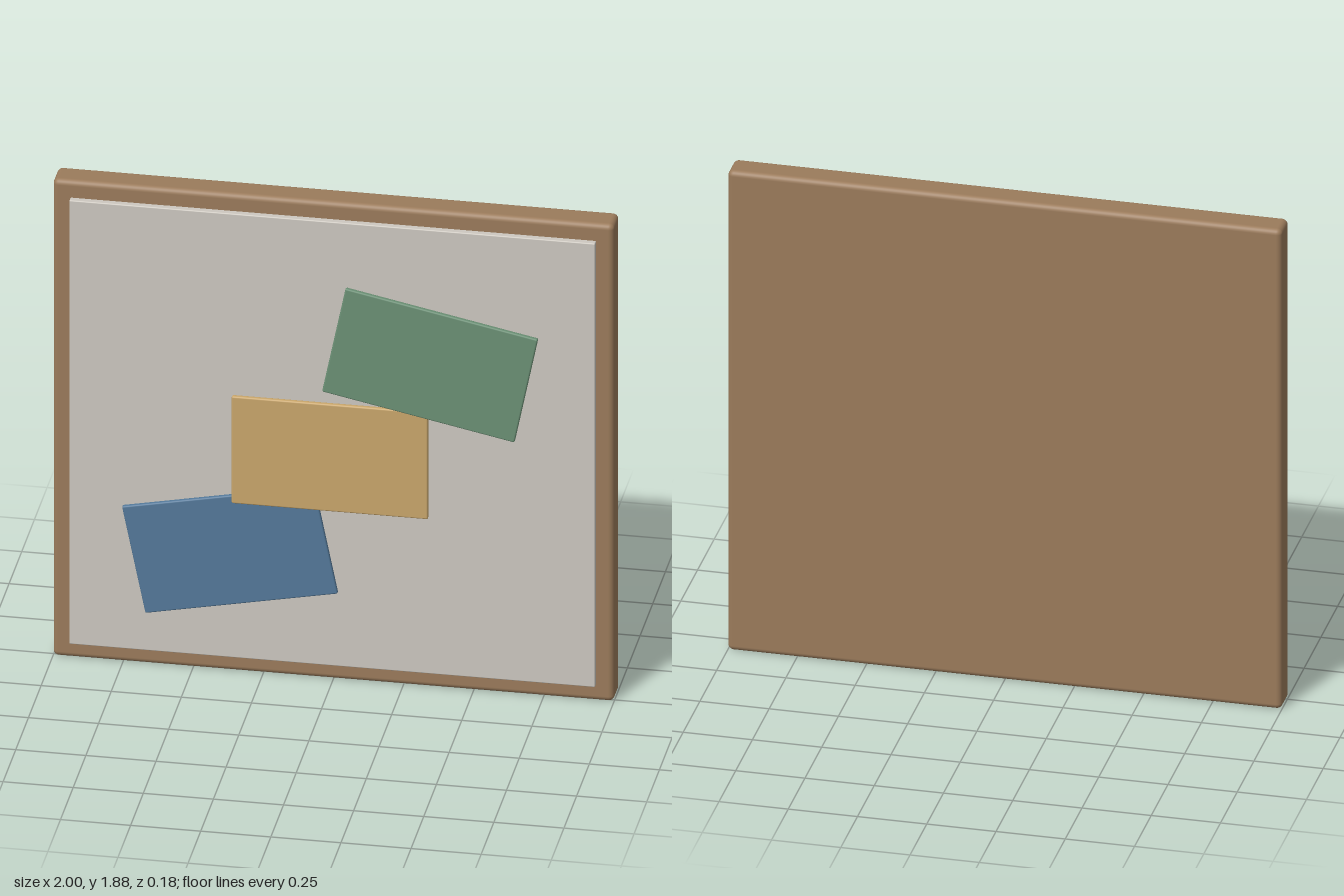
import * as THREE from 'three';
import { RoundedBoxGeometry } from 'three/addons/geometries/RoundedBoxGeometry.js';

function material(name, color) {
  const m = new THREE.MeshStandardMaterial({ color });
  m.name = name;
  return m;
}

// Rounded slab spanning back to front in z, centred at x, y
function slab(name, mat, width, height, back, front, x, y, radius, angle = 0) {
  const geometry = new RoundedBoxGeometry(width, height, front - back, 3, radius);
  const mesh = new THREE.Mesh(geometry, mat);
  mesh.name = name;
  mesh.position.set(x, y, (back + front) / 2);
  mesh.rotation.z = angle;
  return mesh;
}

export function createModel() {
  const group = new THREE.Group();
  group.name = 'pinBoard';

  // Wooden backing and the raised pale panel on its front
  group.add(slab('woodenFrame', material('brown wood', 0x9b7b5b), 2, 1.88, -0.09, 0.02, 0, 0.94, 0.02));
  group.add(slab('panel', material('pale grey', 0xcdc8c0), 1.875, 1.75, 0.0, 0.043, 0, 0.94, 0.004));

  // Three cards climbing to the right, each a little further forward
  const cards = [
    ['blueCard', material('blue', 0x54799a), -0.36, 0.502, 0.2],
    ['ochreCard', material('ochre', 0xc9a66b), -0.002, 0.903, 0],
    ['greenCard', material('green', 0x6b9075), 0.357, 1.304, -0.2],
  ];
  cards.forEach(([name, mat, x, y, angle], i) => {
    const back = 0.054 + i * 0.009;
    group.add(slab(name, mat, 0.7, 0.422, back, back + 0.018, x, y, 0.006, angle));
  });

  return group;
}
